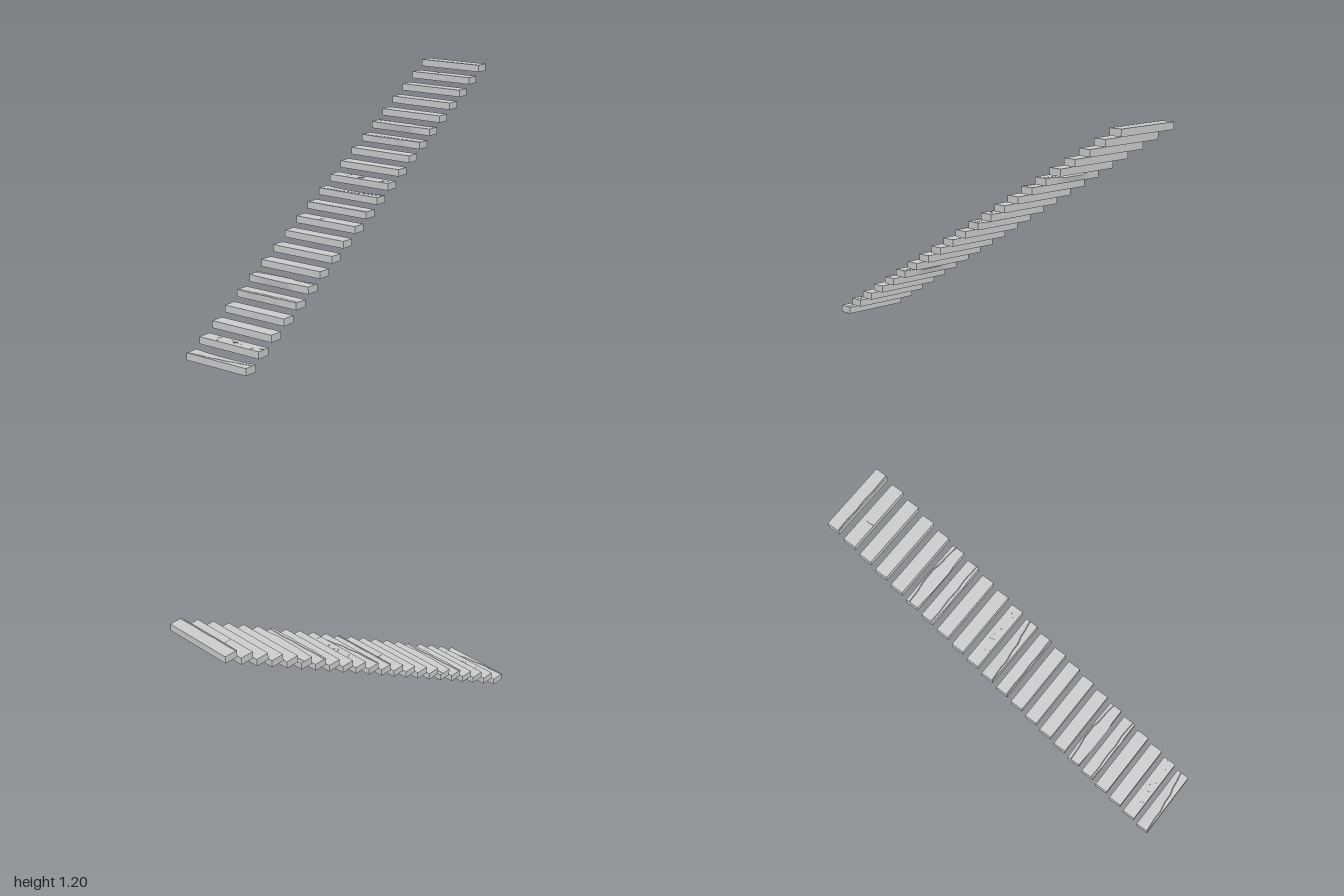
import * as THREE from 'three';

const W = 0.035, H = 0.036, D = 0.183;           // half width, height, half depth of a tread
const RISE = 1.159 / 21, RUN = 1.93 / 21, COUNT = 22;
const material = new THREE.MeshStandardMaterial({ color: 0xcccccc, flatShading: true, side: THREE.DoubleSide });

// Linear interpolation through [z, value] pairs
function along(points, z) {
  if (z <= points[0][0]) return points[0][1];
  for (let i = 1; i < points.length; i++) {
    const [z0, a] = points[i - 1], [z1, b] = points[i];
    if (z <= z1) return a + (b - a) * (z - z0) / (z1 - z0);
  }
  return points[points.length - 1][1];
}

// Wear of each kind of tread: crack path in x, bulge of the long sides, sag of the right edge
const bow = h => [[-0.183, 0], [-0.13, h * 0.6], [-0.06, h * 0.95], [0, h], [0.06, h * 0.95], [0.13, h * 0.6], [0.183, 0]];
const wear = {
  0: {
    crack: [[-0.183, -0.031], [-0.1, -0.024], [-0.06, -0.026], [0, -0.015], [0.05, -0.014], [0.09, -0.002], [0.13, 0.002], [0.183, 0.012]],
    depth: 0.004, sag: bow(0.006),
  },
  4: {
    crack: [[-0.183, -0.024], [-0.12, -0.026], [-0.04, -0.021], [0.03, -0.024], [0.09, -0.018], [0.183, -0.022]],
    depth: 0.002, left: [[-0.13, 0], [-0.1, 0.004], [0.02, 0.001], [0.06, 0.004], [0.1, 0]],
  },
  5: {
    crack: [[-0.183, 0.016], [-0.11, 0.02], [-0.05, 0.029], [0.03, 0.03], [0.06, 0.022], [0.12, 0.02], [0.183, 0.014]],
    depth: 0.003,
    left: [[-0.183, 0], [-0.13, 0.003], [-0.06, 0.007], [0.06, 0.008], [0.1, 0.001], [0.183, 0]],
    right: [[-0.183, 0], [-0.13, 0.001], [-0.06, 0.006], [0.06, 0.006], [0.13, 0.001], [0.183, 0]],
    sag: [[-0.183, 0], [-0.1, 0.001], [-0.06, 0.009], [0.06, 0.009], [0.13, 0.001], [0.183, 0]],
  },
  10: {
    crack: [[-0.183, -0.03], [-0.12, -0.027], [-0.05, -0.03], [0.02, -0.026], [0.08, -0.029], [0.183, -0.026]],
    depth: 0.002,
  },
};

// A worn stone block lofted from cross-sections along z
function treadGeometry({ crack, depth = 0, left = [[0, 0]], right = [[0, 0]], sag = [[0, 0]] }) {
  const positions = [], index = [], n = 7, rows = 24;
  for (let i = 0; i <= rows; i++) {
    const z = -D + 2 * D * i / rows;
    const c = along(crack, z), l = -W - along(left, z), r = W + along(right, z), top = H - along(sag, z);
    const ring = [[-W, 0], [W, 0], [r, top], [c + 0.002, H], [c, H - depth], [c - 0.002, H], [l, H]];
    for (const [x, y] of ring) positions.push(x, y, z);
  }
  for (let i = 0; i < rows; i++) {
    for (let j = 0; j < n; j++) {
      const a = i * n + j, b = i * n + (j + 1) % n;
      index.push(a, b, b + n, a, b + n, a + n);
    }
  }
  const end = rows * n;
  for (let j = 1; j < n - 1; j++) index.push(0, j + 1, j, end, end + j, end + j + 1);
  const g = new THREE.BufferGeometry();
  g.setAttribute('position', new THREE.Float32BufferAttribute(positions, 3));
  g.setIndex(index);
  const flat = g.toNonIndexed();
  flat.computeVertexNormals();
  return flat;
}

// Thin raised seam following [x, z] points on top of a tread
function addSeam(parent, points) {
  for (let i = 1; i < points.length; i++) {
    const [x0, z0] = points[i - 1], [x1, z1] = points[i];
    const seam = new THREE.Mesh(new THREE.BoxGeometry(0.0025, 0.002, Math.hypot(x1 - x0, z1 - z0)), material);
    seam.name = 'surfaceSeam';
    seam.position.set((x0 + x1) / 2, H, (z0 + z1) / 2);
    seam.rotation.y = Math.atan2(x1 - x0, z1 - z0);
    parent.add(seam);
  }
}

const seams = {
  1: [
    [[-0.03, -0.08], [-0.012, -0.085], [0.004, -0.105], [0.018, -0.1], [0.015, -0.08]],
    [[-0.018, -0.015], [0.014, -0.028], [0.006, 0.025], [-0.018, -0.015]],
    [[-0.015, 0.04], [-0.004, 0.05], [0.004, 0.04]],
    [[-0.03, 0.125], [-0.01, 0.13], [0.006, 0.145], [-0.002, 0.165], [0.008, 0.178]],
  ],
  9: [[[-0.034, -0.04], [-0.01, -0.044], [0.012, -0.04]]],
};

export function createModel() {
  const model = new THREE.Group();
  model.name = 'floatingStaircase';
  const plain = new THREE.BoxGeometry(2 * W, H, 2 * D).translate(0, H / 2, 0);
  const worn = {};
  for (const key in wear) worn[key] = treadGeometry(wear[key]);

  // The eleven tread designs repeat twice up the flight
  for (let i = 0; i < COUNT; i++) {
    const kind = i % 11;
    const step = new THREE.Group();
    step.name = 'step' + (i + 1);
    const tread = new THREE.Mesh(worn[kind] ?? plain, material);
    tread.name = 'tread';
    step.add(tread);
    for (const path of seams[kind] ?? []) addSeam(step, path);
    step.position.set(-0.965 + i * RUN, i * RISE, 0);
    model.add(step);
  }
  return model;
}
